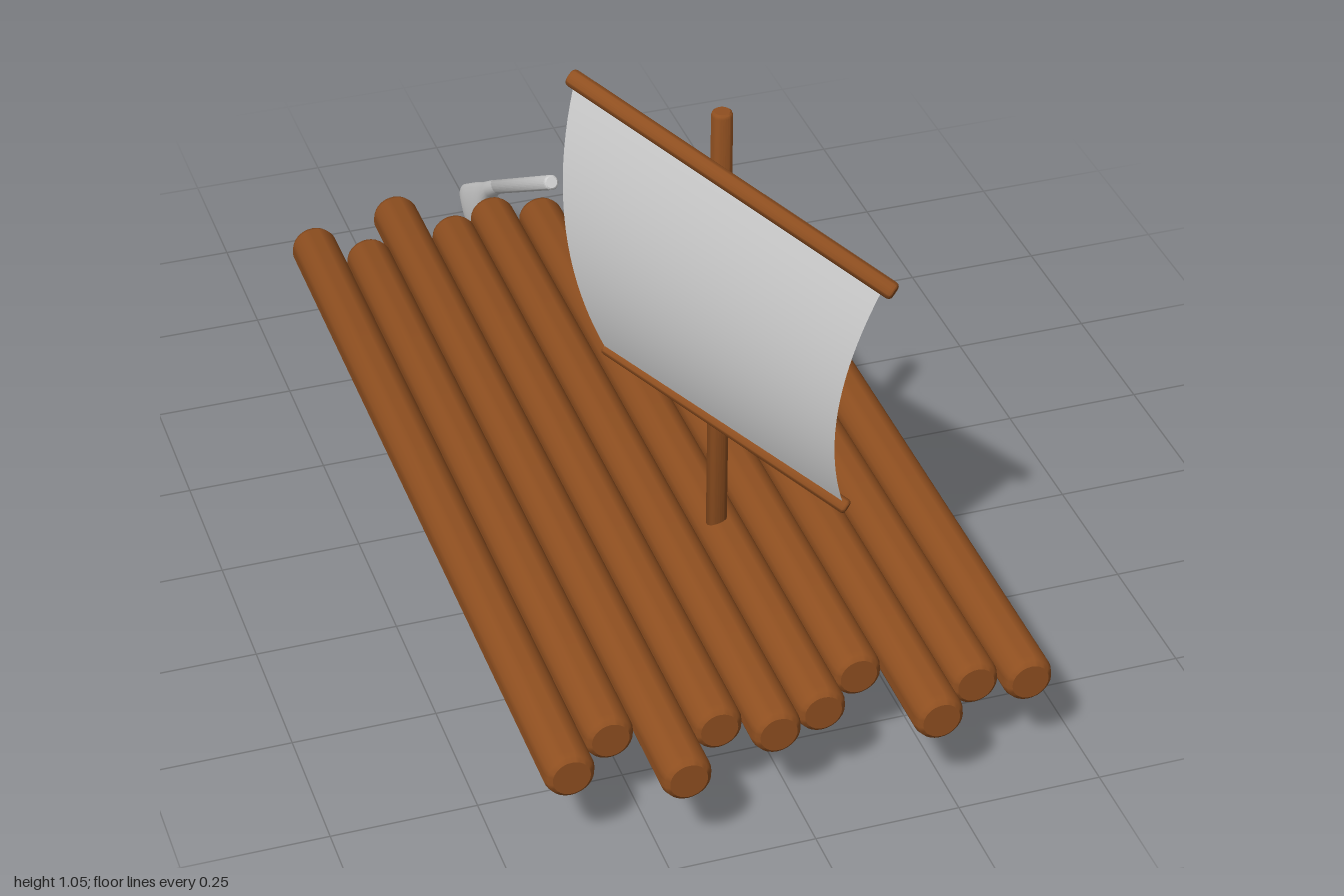
import * as THREE from 'three';
import { toCreasedNormals } from 'three/addons/utils/BufferGeometryUtils.js';

const wood = new THREE.MeshStandardMaterial({ color: 0x8f4f20 });
const grey = new THREE.MeshStandardMaterial({ color: 0xcccccc });
const cloth = new THREE.MeshStandardMaterial({ color: 0xcccccc, side: THREE.DoubleSide });
const V = (x, y, z) => new THREE.Vector3(x, y, z);

// Round pole with bevelled ends running from a to b
function pole(name, a, b, r, material, rEnd = r) {
  const length = a.distanceTo(b), bevel = r * 0.4;
  const profile = [
    [0, 0], [r * 0.74, 0], [r * 0.91, bevel * 0.35], [r, bevel],
    [rEnd, length - bevel], [rEnd * 0.91, length - bevel * 0.35], [rEnd * 0.74, length], [0, length],
  ].map(([x, y]) => new THREE.Vector2(x, y));
  const geometry = toCreasedNormals(new THREE.LatheGeometry(profile, 28), 0.6);
  const mesh = new THREE.Mesh(geometry, material);
  mesh.name = name;
  mesh.position.copy(a);
  mesh.quaternion.setFromUnitVectors(V(0, 1, 0), b.clone().sub(a).normalize());
  return mesh;
}

// Cloth spanning two yards, filled by the wind between them
function makeSail(topA, topB, lowA, lowB, belly) {
  const geometry = new THREE.PlaneGeometry(1, 1, 10, 20);
  const pos = geometry.attributes.position;
  for (let i = 0; i < pos.count; i++) {
    const u = pos.getX(i) + 0.5, t = 0.5 - pos.getY(i);
    const p = topA.clone().lerp(topB, u).lerp(lowA.clone().lerp(lowB, u), t);
    p.addScaledVector(belly, 4 * t * (1 - t));
    pos.setXYZ(i, p.x, p.y, p.z);
  }
  geometry.computeVertexNormals();
  const mesh = new THREE.Mesh(geometry, cloth);
  mesh.name = 'sail';
  return mesh;
}

// Blade lofted through upright elliptical sections: [z, top, bottom, half width]
function makeBlade(x) {
  const stations = [
    [-0.71, 0.249, 0.221, 0.012], [-0.78, 0.207, 0.168, 0.016], [-0.81, 0.187, 0.125, 0.018],
    [-0.84, 0.167, 0.05, 0.018], [-0.87, 0.149, 0.018, 0.018], [-0.91, 0.124, 0.001, 0.017],
    [-0.95, 0.098, 0.008, 0.015], [-0.985, 0.075, 0.03, 0.01], [-1, 0.058, 0.05, 0.002],
  ];
  const sides = 20, vertices = [], index = [];
  stations.forEach(([z, top, bottom, w], i) => {
    for (let j = 0; j < sides; j++) {
      const a = (j / sides) * Math.PI * 2;
      vertices.push(x + w * Math.cos(a), (top + bottom) / 2 + ((top - bottom) / 2) * Math.sin(a), z);
      if (i === stations.length - 1) continue;
      const p = i * sides + j, q = i * sides + ((j + 1) % sides);
      index.push(p, p + sides, q, q, p + sides, q + sides);
    }
  });
  // Close the tip
  const last = (stations.length - 1) * sides;
  for (let j = 1; j < sides - 1; j++) index.push(last, last + j + 1, last + j);
  const geometry = new THREE.BufferGeometry();
  geometry.setAttribute('position', new THREE.Float32BufferAttribute(vertices, 3));
  geometry.setIndex(index);
  geometry.computeVertexNormals();
  const mesh = new THREE.Mesh(geometry, grey);
  mesh.name = 'oarBlade';
  return mesh;
}

export function createModel() {
  const model = new THREE.Group();
  model.name = 'sailingRaft';

  // Deck of ten logs with uneven ends: [back z, front z]
  const deck = new THREE.Group();
  deck.name = 'deck';
  const ends = [
    [-0.71, 0.935], [-0.64, 0.865], [-0.77, 1], [-0.67, 0.895], [-0.71, 0.935],
    [-0.68, 0.905], [-0.615, 0.835], [-0.757, 0.983], [-0.69, 0.915], [-0.71, 0.935],
  ];
  ends.forEach(([back, front], i) => {
    const x = (i - 4.5) * 0.0876;
    deck.add(pole('log', V(x, 0.179, back), V(x, 0.179, front), 0.043, wood));
  });
  model.add(deck);

  // Mast, slanted yards and sail
  const rig = new THREE.Group();
  rig.name = 'rig';
  rig.add(
    pole('mast', V(0.033, 0.18, 0.4), V(0.033, 1.033, 0.4), 0.018, wood),
    pole('upperYard', V(-0.169, 1.036, 0.224), V(0.237, 0.807, 0.664), 0.0155, wood),
    pole('lowerYard', V(-0.127, 0.528, 0.275), V(0.19, 0.352, 0.61), 0.013, wood),
    makeSail(V(-0.168, 1.02, 0.238), V(0.217, 0.805, 0.655),
      V(-0.126, 0.525, 0.285), V(0.184, 0.357, 0.606), V(-0.047, 0, 0.015)),
  );
  model.add(rig);

  // Steering oar over the back edge
  const oar = new THREE.Group();
  oar.name = 'steeringOar';
  oar.add(
    pole('oarShaft', V(-0.017, 0.194, -0.775), V(-0.017, 0.437, -0.386), 0.0135, grey, 0.014),
    makeBlade(-0.017),
  );
  model.add(oar);
  return model;
}
